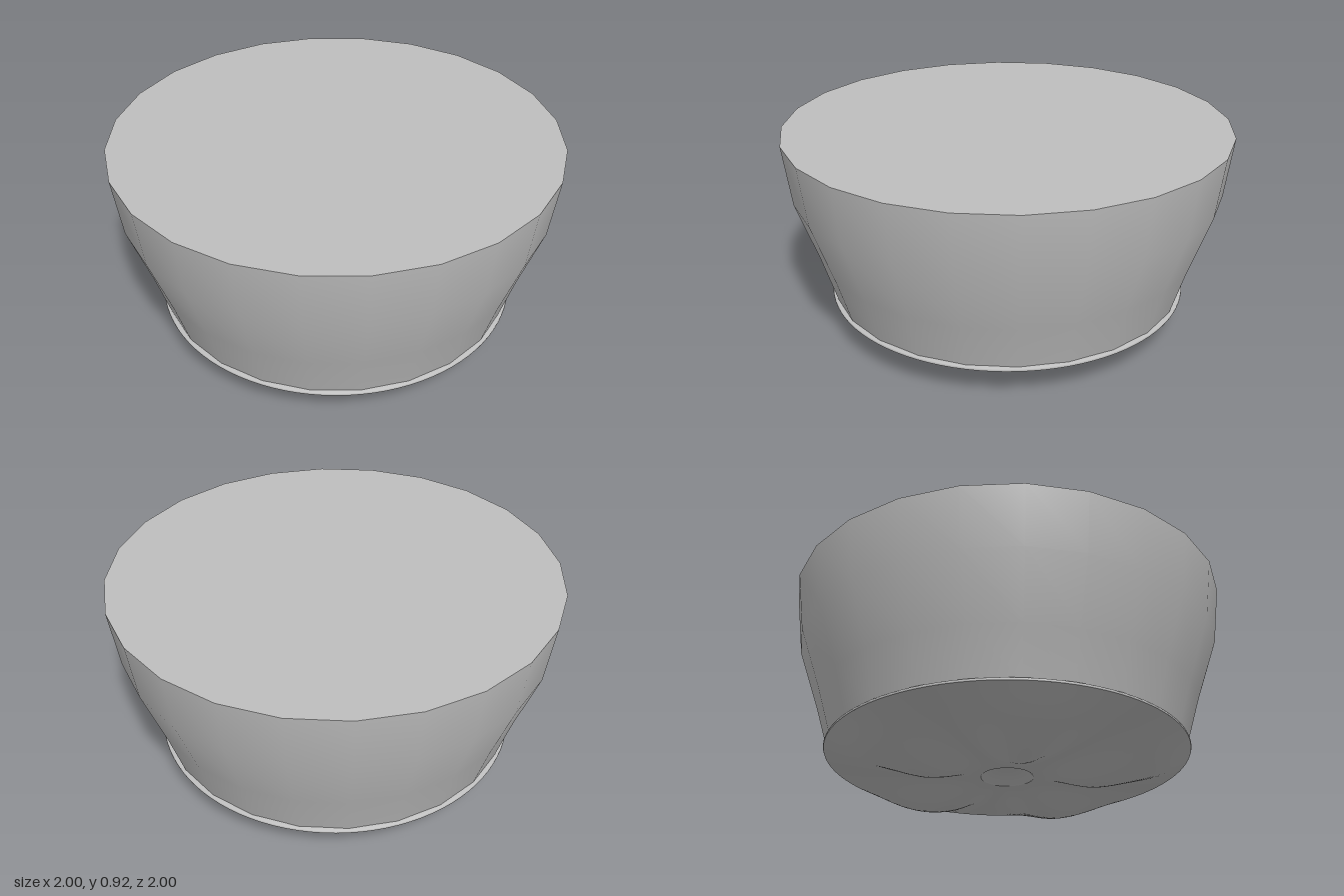
import * as THREE from 'three';

const grey = new THREE.MeshStandardMaterial({ color: 0xbebebe, side: THREE.DoubleSide });
grey.name = 'plain grey';

const lathe = (pts, sides) =>
  new THREE.LatheGeometry(pts.map(([r, y]) => new THREE.Vector2(r, y)), sides);

function addPart(group, name, geometry) {
  const mesh = new THREE.Mesh(geometry, grey);
  mesh.name = name;
  group.add(mesh);
}

// Smooth height curve through a few (radius, height) points
function heightCurve(pts) {
  const curve = new THREE.SplineCurve(pts.map(([r, y]) => new THREE.Vector2(r, y)));
  const samples = curve.getPoints(200);
  return (r) => {
    const i = samples.findIndex((p) => p.x >= r - 1e-6);
    if (i < 0) return samples[samples.length - 1].y;
    if (i === 0) return samples[0].y;
    const a = samples[i - 1], b = samples[i];
    return THREE.MathUtils.lerp(a.y, b.y, (r - a.x) / (b.x - a.x));
  };
}

// Underside with five rounded feet and valleys between them
function lobedBase() {
  const foot = heightCurve([[0.118, 0.06], [0.2, 0.045], [0.3, 0.015], [0.4, 0.002],
    [0.54, 0.026], [0.69, 0.075], [0.82, 0.147]]);
  const valley = heightCurve([[0.118, 0.06], [0.25, 0.069], [0.4, 0.084],
    [0.55, 0.106], [0.7, 0.128], [0.82, 0.147]]);
  const rings = [];
  for (let i = 0; i <= 32; i++) rings.push([0.118 + (0.702 * i) / 32, 0.001 * i]);
  const geo = lathe(rings, 120);
  const pos = geo.attributes.position;
  for (let i = 0; i < pos.count; i++) {
    const x = pos.getX(i), z = pos.getZ(i), r = Math.hypot(x, z);
    const w = (1 - Math.cos(5 * Math.atan2(z, x))) / 2;
    pos.setY(i, THREE.MathUtils.lerp(foot(r), valley(r), w));
  }
  geo.computeVertexNormals();
  return geo;
}

export function createModel() {
  const group = new THREE.Group();
  group.name = 'footedCup';

  // Flaring 24-sided wall
  addPart(group, 'wall', lathe([[0.806, 0.155], [0.87, 0.37], [0.966, 0.65], [1, 0.92]], 24));

  // Flat closed top
  const top = new THREE.CircleGeometry(1, 24);
  top.rotateX(-Math.PI / 2).translate(0, 0.92, 0);
  addPart(group, 'top', top);

  // Thin lip around the bottom of the wall
  addPart(group, 'lip', lathe([[0.82, 0.147], [0.822, 0.152], [0.82, 0.158], [0.79, 0.163]], 96));

  addPart(group, 'lobedBase', lobedBase());

  // Hollow in the middle of the underside
  const hollow = [];
  for (let i = 0; i <= 8; i++) {
    const r = (0.118 * i) / 8;
    hollow.push([r, 0.06 + 0.05 * (1 - (i / 8) ** 2)]);
  }
  addPart(group, 'centreHollow', lathe(hollow, 48));

  return group;
}
